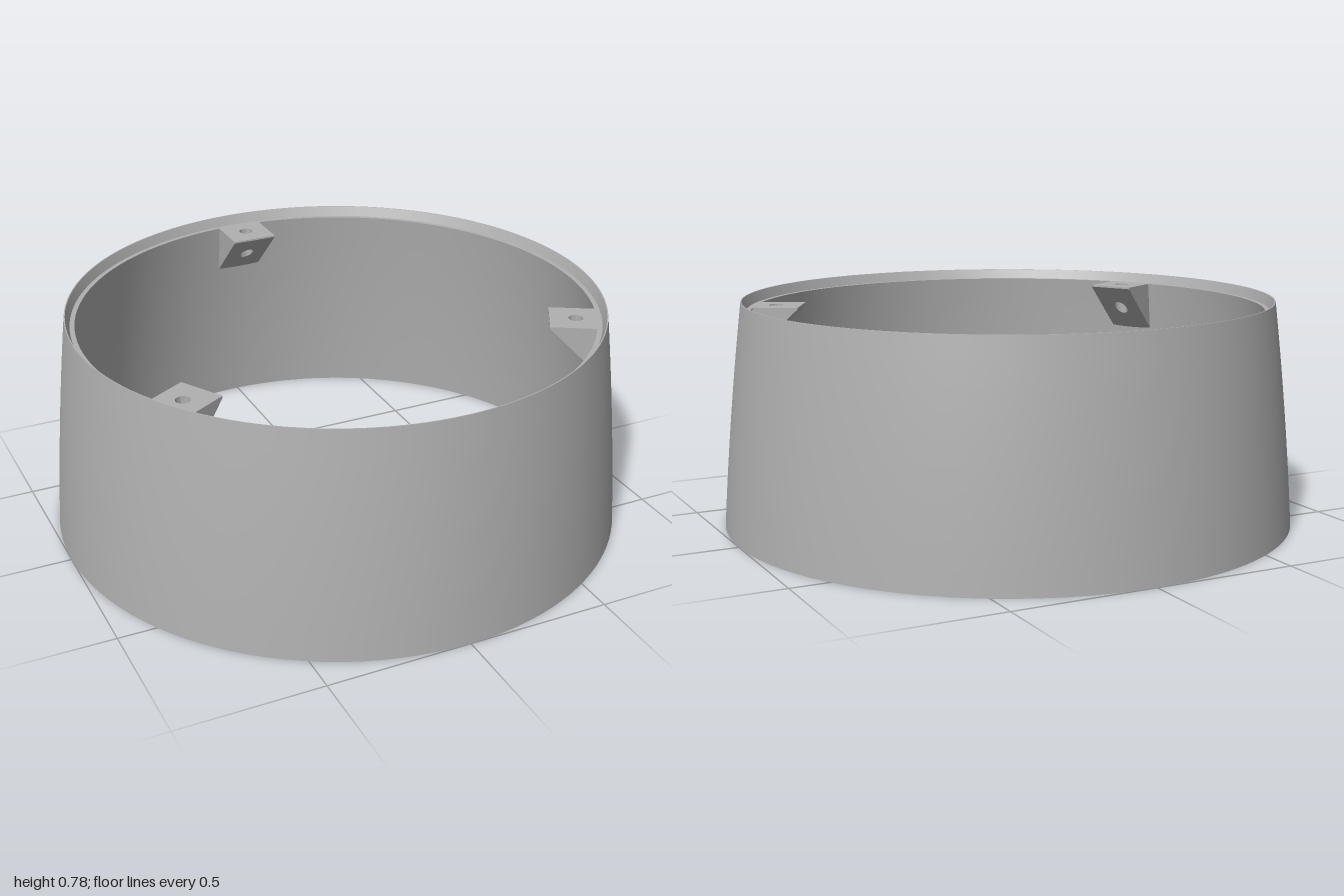
import * as THREE from 'three';
import { toCreasedNormals } from 'three/addons/utils/BufferGeometryUtils.js';

const LEDGE_Y = 0.745;

// Gently curved outer radius at height y
const outerRadius = (y) => {
  const t = y / 0.78;
  return 1 - 0.052 * t - 0.023 * t * t;
};

// Tapered ring with a thin lip and a ledge inside its top edge
function ringGeometry() {
  const steps = 10;
  const points = [];
  for (let i = 0; i <= steps; i++) {
    const y = (0.78 * i) / steps;
    points.push(new THREE.Vector2(outerRadius(y), y));
  }
  points.push(new THREE.Vector2(0.921, 0.78), new THREE.Vector2(0.908, LEDGE_Y));
  for (let i = steps; i >= 0; i--) {
    const y = (LEDGE_Y * i) / steps;
    points.push(new THREE.Vector2(outerRadius(y) - 0.038, y));
  }
  points.push(new THREE.Vector2(1, 0));
  return toCreasedNormals(new THREE.LatheGeometry(points, 128), 0.4);
}

// Wedge bracket with a vertical screw hole, built against the back wall
function bracketGeometry() {
  const inner = 0.73, outer = 0.913, half = 0.083;
  const shape = new THREE.Shape();
  shape.moveTo(-half, inner);
  shape.lineTo(half, inner);
  shape.lineTo(half, outer);
  shape.lineTo(-half, outer);
  const hole = new THREE.Path();
  hole.absarc(0, 0.82, 0.025, 0, Math.PI * 2, true);
  shape.holes.push(hole);

  const geometry = new THREE.ExtrudeGeometry(shape, { depth: 1, bevelEnabled: false, curveSegments: 24 });
  // Turn the plate level and pull its lower vertices onto the sloping underside
  const pos = geometry.attributes.position;
  for (let i = 0; i < pos.count; i++) {
    const r = pos.getY(i);
    const slope = (r - inner) / (outer - inner);
    const y = pos.getZ(i) > 0.5 ? LEDGE_Y : LEDGE_Y - 0.006 - 0.175 * slope;
    pos.setXYZ(i, pos.getX(i), y, -r);
  }
  return toCreasedNormals(geometry, 0.5);
}

export function createModel() {
  const model = new THREE.Group();
  model.name = 'mountingRing';
  const grey = new THREE.MeshStandardMaterial({ color: 0xb0b0b0 });
  grey.name = 'grey';

  const ring = new THREE.Mesh(ringGeometry(), grey);
  ring.name = 'ring';
  model.add(ring);

  // Three brackets spaced evenly around the inside
  const bracket = bracketGeometry();
  ['backBracket', 'rightBracket', 'leftBracket'].forEach((name, i) => {
    const mesh = new THREE.Mesh(bracket, grey);
    mesh.name = name;
    mesh.rotation.y = (i * Math.PI * 2) / 3;
    model.add(mesh);
  });
  return model;
}
